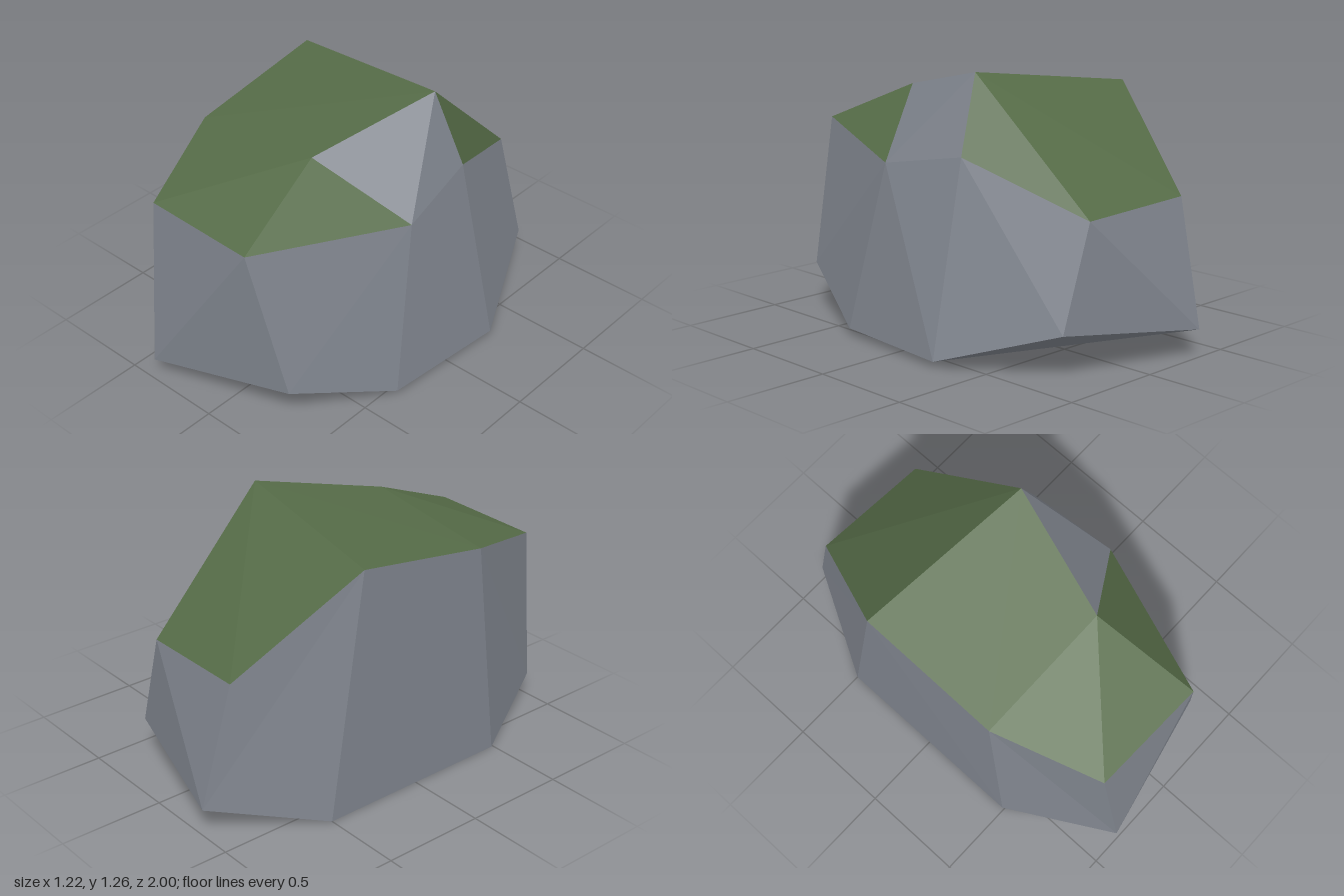
import * as THREE from 'three';

// Corners of the boulder: b = lower ring, t = upper ring (both from front left, anticlockwise from above)
const corners = {
  b0: [-0.355, 0.115, 0.995], b1: [0.355, 0.225, 0.84], b2: [0.56, 0.035, 0.345], b3: [0.61, 0.03, -0.28],
  b4: [0.36, 0.21, -0.82], b5: [-0.34, 0.13, -1.0], b6: [-0.613, 0, -0.5], b7: [-0.613, 0, 0.49],
  t0: [-0.39, 0.925, 0.89], t1: [0.185, 0.925, 0.905], t2: [0.1, 1.135, 0.4], t3: [0.28, 1.265, -0.21],
  t4: [0.21, 0.685, -0.83], t5: [-0.37, 0.71, -0.855], t6: [-0.595, 1.155, -0.31], t7: [-0.58, 1.05, 0.39],
  // shoulder of the chipped right side
  m: [0.477, 0.835, 0.17], n: [0.415, 0.91, -0.26],
};

// Each facet lists its corners and is fanned from the first one
function facets(name, material, list) {
  const positions = [];
  for (const facet of list) {
    const p = facet.split(' ').map((key) => corners[key]);
    for (let i = 1; i < p.length - 1; i++) positions.push(...p[0], ...p[i], ...p[i + 1]);
  }
  const geometry = new THREE.BufferGeometry();
  geometry.setAttribute('position', new THREE.Float32BufferAttribute(positions, 3));
  geometry.computeVertexNormals();
  const mesh = new THREE.Mesh(geometry, material);
  mesh.name = name;
  return mesh;
}

export function createModel() {
  const stone = new THREE.MeshStandardMaterial({ color: 0x7f848d });
  stone.name = 'stone grey';
  const moss = new THREE.MeshStandardMaterial({ color: 0x556b47 });
  moss.name = 'moss green';

  const group = new THREE.Group();
  group.name = 'mossyRock';
  group.add(
    facets('rockSides', stone, [
      'b0 b1 t1 t0',      // front
      'm t1 b1 b2 b3 n',  // right
      'n b3 b4 t4',       // back right
      'b5 t5 t4 b4',      // back
      'b5 b6 t6 t5',      // back left
      'b7 t7 t6 b6',      // left
      'b0 t0 t7 b7',      // front left
    ]),
    facets('rockChip', stone, ['m n t3 t2']),
    facets('rockUnderside', stone, ['b0 b7 b2 b1', 'b2 b7 b6 b3', 'b3 b6 b5 b4']),
    facets('mossTop', moss, ['t0 t1 t2 t7', 't7 t2 t3 t6', 't3 t4 t5 t6']),
    facets('mossRightEdges', moss, ['t1 m t2', 't3 n t4']),
  );
  return group;
}
